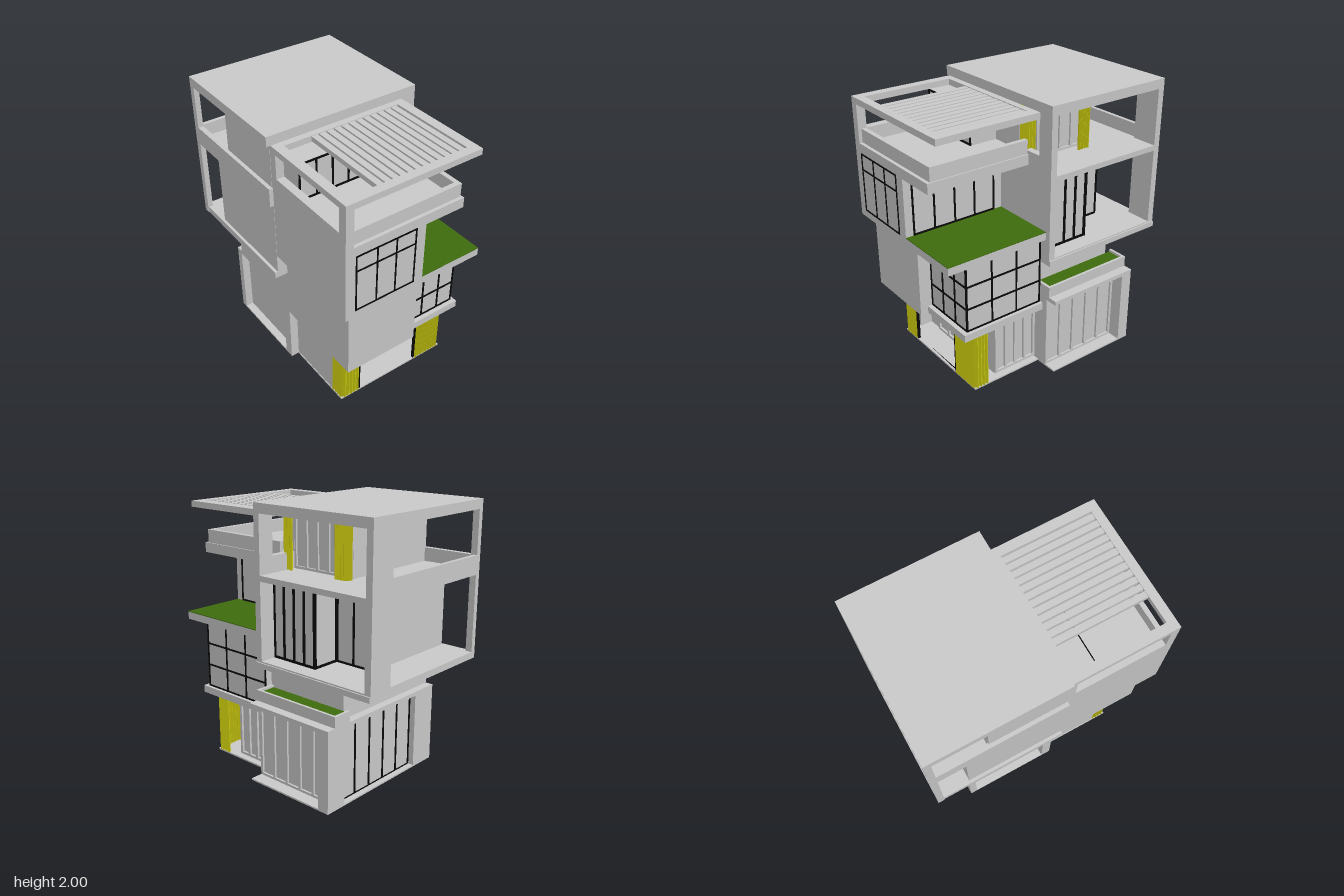
import * as THREE from 'three';

const mat = (name, color, extra = {}) => {
  const m = new THREE.MeshStandardMaterial({ color, ...extra });
  m.name = name;
  return m;
};

export function createModel() {
  const root = new THREE.Group();
  root.name = 'house';
  const grey = mat('concrete', 0xc8c8c8);
  const black = mat('black frame', 0x080808);
  const yellow = mat('yellow curtain', 0xc9c80e);
  const green = mat('grass', 0x3d6b0c);

  // Box given by its extents
  const box = (name, m, x0, x1, y0, y1, z0, z1) => {
    const mesh = new THREE.Mesh(new THREE.BoxGeometry(x1 - x0, y1 - y0, z1 - z0), m);
    mesh.position.set((x0 + x1) / 2, (y0 + y1) / 2, (z0 + z1) / 2);
    mesh.name = name;
    root.add(mesh);
    return mesh;
  };

  // Window bars on a wall plane; axis 'x' faces along x (bars run in z), axis 'z' faces along z
  const bars = (name, m, axis, plane, us, ys, t = 0.012, d = 0.005) => {
    const put = (u0, u1, y0, y1) => axis === 'x'
      ? box(name, m, plane - d, plane + d, y0, y1, u0, u1)
      : box(name, m, u0, u1, y0, y1, plane - d, plane + d);
    const uMin = Math.min(...us), uMax = Math.max(...us);
    const yMin = Math.min(...ys), yMax = Math.max(...ys);
    us.forEach(u => put(u - t / 2, u + t / 2, yMin, yMax));
    ys.forEach(y => put(uMin - t / 2, uMax + t / 2, y - t / 2, y + t / 2));
  };
  const spread = (a, b, n) => Array.from({ length: n + 1 }, (_, i) => a + (b - a) * i / n);

  // Pleated curtain along a path of [x, z] points
  const curtain = (name, path, y0, y1) => {
    const front = [], back = [];
    for (let i = 0; i < path.length - 1; i++) {
      const [ax, az] = path[i], [bx, bz] = path[i + 1];
      const len = Math.hypot(bx - ax, bz - az);
      const nx = -(bz - az) / len, nz = (bx - ax) / len;
      const n = Math.max(4, 2 * Math.round(len / 0.026));
      for (let k = i ? 1 : 0; k <= n; k++) {
        const o = k % 2 ? 0.012 : 0;
        const x = ax + (bx - ax) * k / n + nx * o, z = az + (bz - az) * k / n + nz * o;
        front.push(new THREE.Vector2(x, -z));
        back.unshift(new THREE.Vector2(x + nx * 0.008, -z - nz * 0.008));
      }
    }
    const geo = new THREE.ExtrudeGeometry(new THREE.Shape([...front, ...back]), { depth: y1 - y0, bevelEnabled: false });
    geo.rotateX(-Math.PI / 2);
    const mesh = new THREE.Mesh(geo, yellow);
    mesh.position.y = y0;
    mesh.name = name;
    root.add(mesh);
  };

  // Ground floor, left half: slab, body, garage surround and back porch frame
  box('groundSlab', grey, -0.63, 0.11, 0, 0.012, -0.64, 0.535);
  box('groundBody', grey, -0.58, 0.11, 0, 0.6, -0.53, 0.475);
  box('garageRightJamb', grey, 0.035, 0.11, 0, 0.6, 0.45, 0.535);
  box('garageLeftJamb', grey, -0.63, -0.575, 0, 0.6, 0.32, 0.535);
  box('garageLintel', grey, -0.63, 0.11, 0.57, 0.6, 0.45, 0.535);
  box('backPillar', grey, -0.63, -0.54, 0, 0.6, -0.64, -0.47);
  box('groundRoofEdge', grey, -0.63, 0.11, 0.57, 0.6, -0.64, 0.535);
  bars('sideWindowFrame', black, 'x', -0.582, spread(-0.465, 0.315, 5), [0.012, 0.565]);
  bars('backDoorFrame', grey, 'z', -0.535, spread(-0.53, 0.1, 5), [0.02, 0.56], 0.02, 0.01);

  // Planter above the back porch
  box('planterBackWall', grey, -0.63, 0.11, 0.6, 0.68, -0.57, -0.55);
  box('planterSideWall', grey, -0.63, -0.61, 0.6, 0.68, -0.57, -0.42);
  box('planterEnd', grey, 0.09, 0.11, 0.6, 0.68, -0.57, -0.42);
  box('planterGrass', green, -0.61, 0.09, 0.655, 0.662, -0.55, -0.42);

  // Ground floor, right half: recessed room behind corner curtains
  box('rightSlab', grey, 0.11, 0.68, 0, 0.012, -0.46, 0.475);
  box('rightRoom', grey, 0.11, 0.47, 0, 0.48, -0.4, 0.47);
  box('rightFrontWall', grey, 0.11, 0.57, 0, 0.48, 0.44, 0.47);
  bars('patioDoorFrame', grey, 'x', 0.475, spread(-0.21, 0.3, 4), [0.03, 0.45], 0.02, 0.012);
  bars('backPatioFrame', grey, 'z', -0.405, spread(0.12, 0.46, 4), [0.03, 0.45], 0.02, 0.012);
  bars('patioPortal', black, 'x', 0.668, [-0.21, 0.31], [0.006, 0.462], 0.012, 0.01);
  curtain('frontCornerCurtain', [[0.56, 0.457], [0.668, 0.457], [0.668, 0.315]], 0.01, 0.47);
  curtain('backCornerCurtain', [[0.668, -0.217], [0.668, -0.445], [0.56, -0.445]], 0.01, 0.47);

  // Middle floor: neck under the main block, right block, corner window
  box('neck', grey, -0.57, 0.11, 0.6, 0.86, -0.42, 0.535);
  box('middleBlock', grey, 0.105, 0.84, 0.47, 1.04, -0.04, 0.535);
  box('cornerSill', grey, 0.11, 0.78, 0.47, 0.525, -0.5, -0.04);
  box('cornerWindow', grey, 0.11, 0.74, 0.52, 1.04, -0.47, -0.04);
  const cornerRows = [0.53, 0.7, 0.87, 1.034];
  bars('cornerWindowSideFrame', black, 'x', 0.741, [-0.045, -0.19, -0.335, -0.47], cornerRows);
  bars('cornerWindowBackFrame', black, 'z', -0.471, spread(0.12, 0.74, 3), cornerRows);

  // Grass roof over the corner window
  box('grassRoofSlab', grey, 0.11, 0.905, 1.04, 1.096, -0.52, 0);
  box('grassRoof', green, 0.11, 0.905, 1.096, 1.101, -0.52, -0.015);

  // Upper right block with its windows
  box('upperBlock', grey, 0.1, 0.905, 1.04, 1.6, -0.015, 0.61);
  bars('upperSideWindow', black, 'x', 0.905, [0.065, 0.22, 0.37, 0.53], [1.1, 1.415, 1.53], 0.01);
  bars('upperBackWindow', black, 'z', -0.017, spread(0.18, 0.84, 4), [1.107, 1.524]);

  // Terrace: floor, parapets, front screen with opening, glazed room
  box('terraceFloor', grey, 0.11, 0.905, 1.53, 1.605, -0.325, 0.6);
  box('terraceSideParapet', grey, 0.845, 0.88, 1.6, 1.705, -0.315, 0.56);
  box('terraceBackParapet', grey, 0.11, 0.88, 1.6, 1.705, -0.315, -0.28);
  box('screenSill', grey, 0.1, 0.905, 1.59, 1.705, 0.55, 0.61);
  box('screenLeftPost', grey, 0.1, 0.16, 1.7, 1.93, 0.55, 0.61);
  box('screenRightPost', grey, 0.84, 0.905, 1.7, 1.93, 0.55, 0.61);
  box('terraceRoom', grey, 0.1, 0.325, 1.6, 1.885, 0.04, 0.55);
  bars('terraceRoomFrame', black, 'x', 0.328, [0.042, 0.165, 0.29, 0.415, 0.543], [1.612, 1.878]);

  // Pergola frame and slats
  box('pergolaFront', grey, 0.11, 0.905, 1.885, 1.93, 0.54, 0.61);
  box('pergolaBack', grey, 0.11, 0.905, 1.885, 1.93, -0.44, -0.368);
  box('pergolaLeft', grey, 0.11, 0.16, 1.885, 1.93, -0.44, 0.61);
  box('pergolaRight', grey, 0.84, 0.905, 1.885, 1.93, -0.44, 0.61);
  for (let k = 0; k < 12; k++) {
    const z = -0.355 + 0.0585 * k;
    box('pergolaSlat', grey, 0.16, 0.84, 1.89, 1.925, z, z + 0.0455);
  }

  // Main block: floor slabs, roof, posts and front band
  box('mainFloor', grey, -0.91, 0.11, 0.85, 0.9, -0.56, 0.635);
  box('floorEdgeTrim', grey, -0.91, 0.11, 0.85, 0.89, -0.57, -0.56);
  box('balconyFloor', grey, -0.91, 0.11, 1.47, 1.51, -0.56, 0.635);
  box('mainRoof', grey, -0.91, 0.11, 1.93, 2, -0.56, 0.64);
  box('frontPost', grey, -0.91, -0.86, 0.85, 1.95, 0.6, 0.64);
  box('backLeftPost', grey, -0.91, -0.86, 0.85, 1.95, -0.56, -0.36);
  box('frontBand', grey, -0.91, 0.11, 1.47, 1.61, 0.6, 0.64);
  box('sideBand', grey, -0.91, -0.88, 1.47, 1.61, -0.38, 0.62);

  // Main block right wall with a high opening at the back
  box('rightWallLower', grey, 0.06, 0.11, 0.85, 1.63, -0.56, 0.61);
  box('rightWallPost', grey, 0.06, 0.11, 1.6, 1.95, -0.56, -0.436);
  box('rightWallUpper', grey, 0.06, 0.11, 1.6, 1.95, -0.225, 0.61);

  // Lower living room, stepped in plan
  box('livingRoom', grey, -0.645, 0.11, 0.88, 1.48, -0.21, 0.612);
  box('livingRoomBay', grey, -0.325, 0.08, 0.88, 1.48, -0.43, -0.2);
  bars('bayBackFrame', black, 'z', -0.432, spread(-0.32, 0.055, 4), [0.908, 1.462], 0.018);
  bars('baySideFrame', black, 'x', -0.327, [-0.43, -0.22], [0.908, 1.462], 0.018);
  bars('livingBackFrame', black, 'z', -0.212, [-0.635, -0.48, -0.335], [0.908, 1.462], 0.014);

  // Upper bedroom with curtains on its back window
  box('bedroom', grey, -0.47, 0.1, 1.5, 1.94, -0.21, 0.612);
  bars('bedroomFrame', grey, 'z', -0.215, spread(-0.46, 0.05, 5), [1.52, 1.92], 0.018, 0.01);
  curtain('bedroomCurtainInner', [[0.1, -0.235], [0.1, -0.28], [0.02, -0.28]], 1.51, 1.93);
  curtain('bedroomCurtainOuter', [[-0.37, -0.28], [-0.47, -0.28], [-0.47, -0.235]], 1.51, 1.93);

  return root;
}
